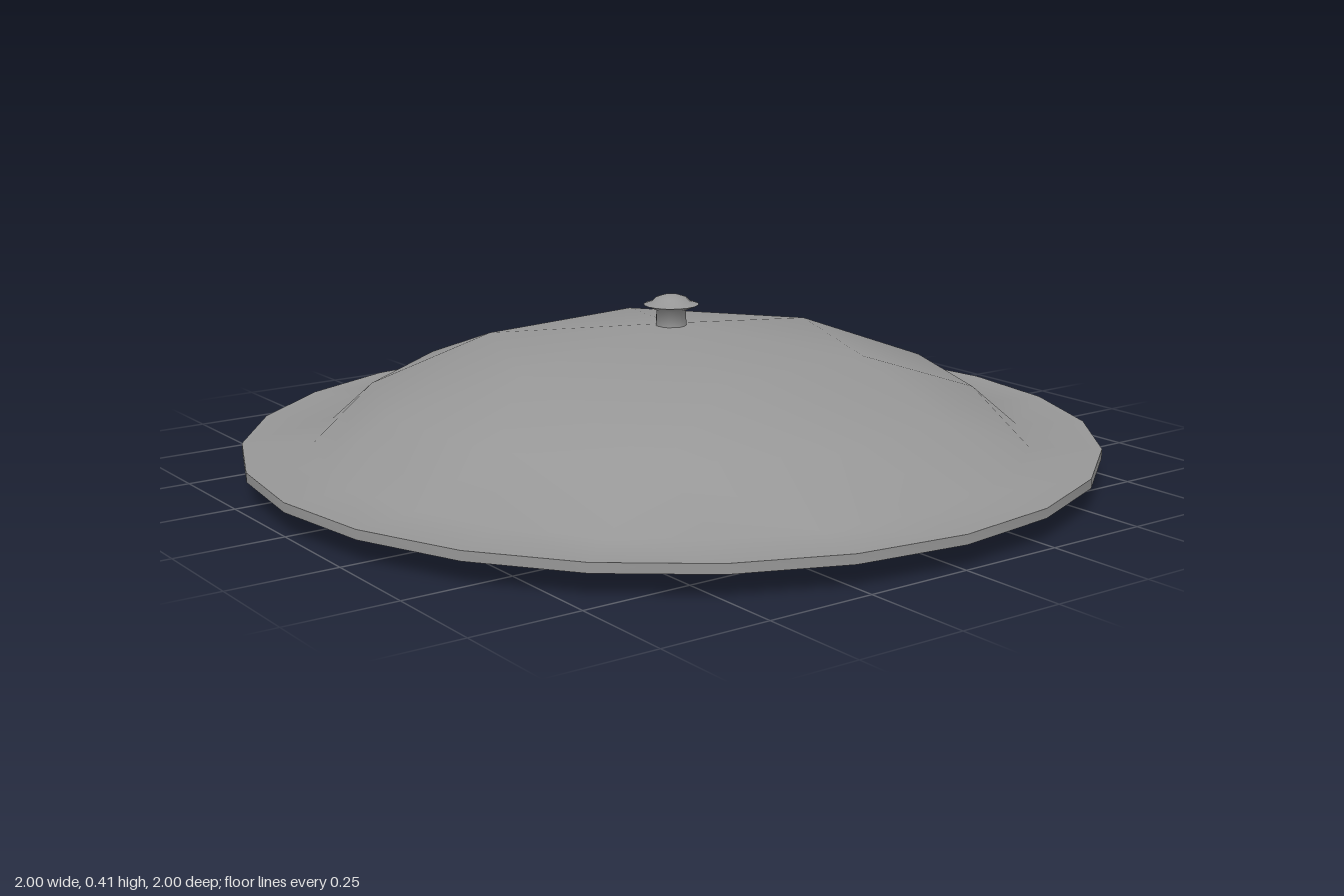
import * as THREE from 'three';
import { mergeVertices } from 'three/addons/utils/BufferGeometryUtils.js';

const SIDES = 24;

// Lathe a profile of [radius, y, group]; "group" neighbouring columns share
// one corner on that ring, so the polygon gets coarser towards the top.
function turned(name, profile, sides = SIDES) {
  let geo = new THREE.LatheGeometry(profile.map(([r, y]) => new THREE.Vector2(r, y)), sides);
  const pos = geo.attributes.position;
  const step = (Math.PI * 2) / sides;
  for (let i = 0; i <= sides; i++) {
    profile.forEach(([r, , group = 1], j) => {
      if (group === 1) return;
      const first = group === 2 ? 1 : -1; // first column of a gathered set
      const angle = (Math.floor((i - first) / group) * group + first + (group - 1) / 2) * step;
      const k = i * profile.length + j;
      pos.setX(k, r * Math.sin(angle));
      pos.setZ(k, r * Math.cos(angle));
    });
  }
  // Weld seams and collapsed corners, then smooth
  geo.deleteAttribute('normal');
  geo.deleteAttribute('uv');
  geo = mergeVertices(geo, 1e-4);
  geo.computeVertexNormals();
  const mesh = new THREE.Mesh(geo, new THREE.MeshStandardMaterial({ color: 0x969696, side: THREE.DoubleSide }));
  mesh.name = name;
  return mesh;
}

export function createModel() {
  const model = new THREE.Group();
  model.name = 'dishCover';

  // Flat flange running into the faceted dome (24, 12, then 6 corners)
  model.add(turned('dome', [[1, 0.075], [0.835, 0.073], [0.707, 0.19, 2], [0.455, 0.288, 4], [0, 0.338]]));

  // Hollow inside of the dome, from the open bottom upwards
  model.add(turned('innerShell', [[0.82, 0], [0.815, 0.066], [0.695, 0.18, 2], [0.448, 0.279, 4], [0, 0.329]]));

  // Thin outer edge and the sloping skirt under it
  model.add(turned('rimEdge', [[1, 0.053], [1, 0.075]]));
  model.add(turned('skirt', [[0.82, 0], [0.88, 0.042], [1, 0.053]]));

  // Knob: straight stem, flared brim and rounded top
  const knob = new THREE.Group();
  knob.name = 'knob';
  knob.add(turned('knobStem', [[0.036, 0.333], [0.035, 0.37], [0.065, 0.383]], 16));
  knob.add(turned('knobCap', [[0.065, 0.383], [0.046, 0.389], [0.036, 0.399], [0.018, 0.405], [0, 0.407]], 16));
  model.add(knob);

  return model;
}
